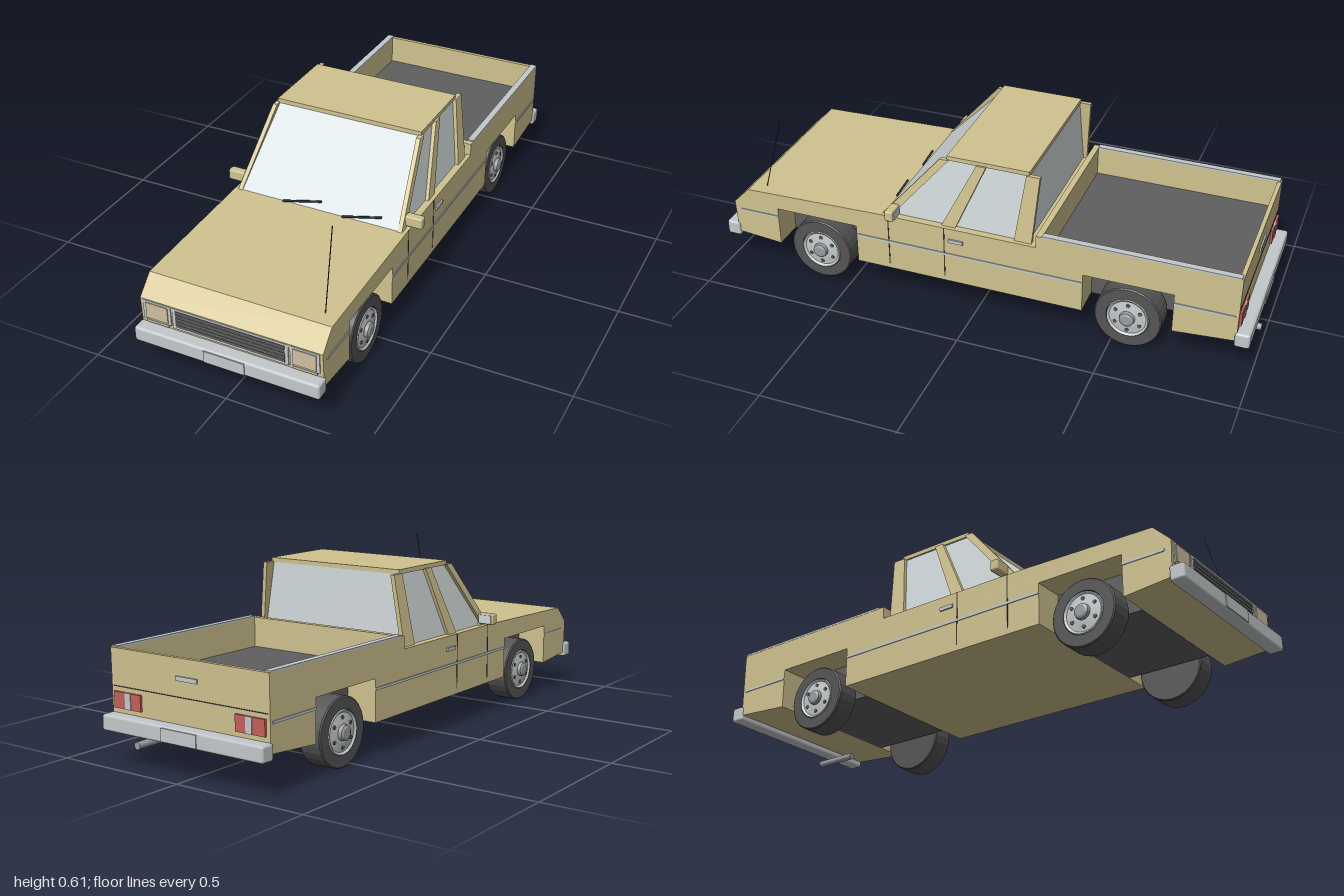
import * as THREE from 'three';
import { RoundedBoxGeometry } from 'three/addons/geometries/RoundedBoxGeometry.js';

const mat = (name, color) => Object.assign(new THREE.MeshStandardMaterial({ color }), { name });

export function createModel() {
  const truck = new THREE.Group();
  truck.name = 'pickupTruck';
  const paint = mat('tanPaint', 0xd0c28f), glass = mat('paleGlass', 0xd0d8da);
  const chrome = mat('brightMetal', 0xc3c9cb), dark = mat('darkGrey', 0x605f60);
  const rubber = mat('tyreRubber', 0x555555), black = mat('blackTrim', 0x35373a);
  const lamp = mat('lampLens', 0xd0bfa0), red = mat('redLens', 0xc4605a);
  const steel = mat('greySteel', 0x9c9ca2);

  const add = (name, geo, material, parent = truck) => {
    const m = new THREE.Mesh(geo, material);
    m.name = name;
    parent.add(m);
    return m;
  };
  // Box given by its limits on each axis
  const box = (name, material, [x0, x1], [y0, y1], [z0, z1]) => {
    const g = new THREE.BoxGeometry(x1 - x0, y1 - y0, z1 - z0);
    g.translate((x0 + x1) / 2, (y0 + y1) / 2, (z0 + z1) / 2);
    return add(name, g, material);
  };
  // Tapered block: lower and upper rectangles [x0, x1, z0, z1] at two heights
  const taper = (name, material, lo, y0, hi, y1) => {
    const g = new THREE.BoxGeometry(1, 1, 1), p = g.attributes.position;
    for (let i = 0; i < p.count; i++) {
      const r = p.getY(i) > 0 ? hi : lo;
      p.setXYZ(i, r[p.getX(i) > 0 ? 1 : 0], p.getY(i) > 0 ? y1 : y0, r[p.getZ(i) > 0 ? 3 : 2]);
    }
    g.computeVertexNormals();
    return add(name, g, material);
  };
  const flip = (s, a, b) => (s > 0 ? [a, b] : [-b, -a]);
  const rod = (name, material, a, b, r, sides = 6) => {
    const from = new THREE.Vector3(...a), to = new THREE.Vector3(...b);
    const m = add(name, new THREE.CylinderGeometry(r, r, from.distanceTo(to), sides), material);
    m.position.copy(from).add(to).multiplyScalar(0.5);
    m.quaternion.setFromUnitVectors(new THREE.Vector3(0, 1, 0), to.sub(from).normalize());
    return m;
  };
  const W = 0.333;
  const arches = [[0.455, 0.775], [-0.72, -0.4]];

  // Body: side profile (z, y) with wheel arches and open bed
  const profile = [
    [0.95, 0.135], [0.955, 0.265], [0.892, 0.328], [0.35, 0.342], [-0.228, 0.342], [-0.228, 0.388],
    [-0.25, 0.388], [-0.25, 0.276], [-0.928, 0.276], [-0.928, 0.388], [-0.943, 0.388], [-0.94, 0.138],
    [-0.72, 0.12], [-0.72, 0.27], [-0.4, 0.27], [-0.4, 0.12],
    [0.455, 0.12], [0.455, 0.27], [0.775, 0.27], [0.775, 0.12],
  ].map(([z, y]) => new THREE.Vector2(z, y));
  const body = new THREE.ExtrudeGeometry(new THREE.Shape(profile), { depth: 2 * W, bevelEnabled: false });
  body.translate(0, 0, -W).rotateY(-Math.PI / 2);
  add('body', body, paint);
  box('bedFloor', dark, [-0.312, 0.312], [0.274, 0.279], [-0.928, -0.25]);
  for (const [z0, z1] of arches) box('wheelWell', dark, [-0.22, 0.22], [0.119, 0.269], [z0, z1]);

  // Cab: glasshouse, roof and pillars
  taper('windows', glass, [-0.307, 0.307, -0.195, 0.352], 0.338, [-0.273, 0.273, -0.183, 0.112], 0.592);
  box('roof', paint, [-0.28, 0.28], [0.587, 0.603], [-0.186, 0.117]);
  const pillars = [
    ['frontPillar', 0.318, 0.354, 0.107, 0.14],
    ['middlePillar', 0.075, 0.128, -0.03, 0.005],
    ['rearPillar', -0.208, -0.144, -0.225, -0.176],
  ];

  for (const s of [1, -1]) {
    for (const [name, b0, b1, t0, t1] of pillars) {
      taper(name, paint, [...flip(s, 0.303, 0.319), b0, b1], 0.34, [...flip(s, 0.271, 0.287), t0, t1], 0.59);
    }

    // Bed sides with bright rail caps
    box('bedSide', paint, flip(s, 0.312, W), [0.27, 0.388], [-0.935, -0.24]);
    box('bedRail', chrome, flip(s, 0.31, W + 0.001), [0.386, 0.393], [-0.938, -0.25]);

    // Side trim, broken at the arches
    for (const z of [[0.775, 0.93], [-0.4, 0.455], [-0.93, -0.72]]) {
      box('sideStripe', chrome, flip(s, W - 0.002, W + 0.003), [0.23, 0.239], z);
    }
    for (const z of [0.327, 0.112]) {
      box('doorSeam', black, flip(s, W - 0.002, W + 0.001), [0.14, 0.342], [z - 0.002, z + 0.002]);
    }
    box('doorHandle', chrome, flip(s, W - 0.002, W + 0.006), [0.288, 0.301], [0.04, 0.095]);

    // Door mirrors
    const mirror = add('mirror', new RoundedBoxGeometry(0.064, 0.04, 0.032, 1, 0.006), paint);
    mirror.position.set(s * 0.345, 0.37, 0.303);
    box('mirrorGlass', glass, flip(s, 0.32, 0.37), [0.355, 0.385], [0.284, 0.288]);
    rod('mirrorArm', paint, [s * 0.31, 0.342, 0.3], [s * 0.322, 0.368, 0.303], 0.007);

    // Headlights and indicators
    box('headlightFrame', chrome, flip(s, 0.218, 0.322), [0.188, 0.262], [0.945, 0.957]);
    box('headlight', lamp, flip(s, 0.229, 0.311), [0.195, 0.255], [0.95, 0.96]);
    box('indicator', lamp, flip(s, 0.228, 0.312), [0.178, 0.187], [0.948, 0.958]);

    // Tail lights: red with a pale centre
    box('tailLight', red, flip(s, 0.2, 0.318), [0.19, 0.245], [-0.949, -0.94]);
    box('reverseLight', chrome, flip(s, 0.243, 0.268), [0.19, 0.245], [-0.951, -0.942]);
  }

  // Grille
  box('grilleFrame', chrome, [-0.212, 0.212], [0.182, 0.262], [0.945, 0.957]);
  for (let i = 0; i < 5; i++) {
    const y = 0.191 + i * 0.0132;
    box('grilleSlot', dark, [-0.2, 0.2], [y, y + 0.0105], [0.95, 0.959]);
  }

  // Bumpers, plates and tailgate handle
  for (const [name, z, s] of [['frontBumper', 0.97, 1], ['rearBumper', -0.96, -1]]) {
    const b = add(name, new RoundedBoxGeometry(0.68, 0.056, 0.054, 1, 0.009), chrome);
    b.position.set(0, 0.145, z);
    const face = z + s * 0.027;
    box('numberPlate', chrome, [-0.075, 0.075], [0.123, 0.167], [face - 0.003, face + 0.003]);
  }
  box('tailgateHandle', chrome, [-0.045, 0.045], [0.315, 0.33], [-0.948, -0.938]);
  box('tailgateTrim', black, [-0.325, 0.325], [0.26, 0.263], [-0.9435, -0.938]);

  // Exhaust, aerial and wipers
  rod('exhaustPipe', steel, [0.17, 0.095, -0.83], [0.17, 0.095, -0.998], 0.0125, 16);
  rod('aerial', black, [0.283, 0.328, 0.84], [0.272, 0.605, 0.765], 0.0017);
  for (const x of [-0.135, 0.095]) {
    rod('wiper', black, [x, 0.347, 0.357], [x + 0.14, 0.369, 0.334], 0.004);
  }

  // Wheels: faceted lathes turned to face sideways
  const turned = (pts) => {
    const g = new THREE.LatheGeometry(pts.map(([r, y]) => new THREE.Vector2(r, y)), 28).toNonIndexed();
    g.computeVertexNormals();
    return g.rotateZ(-Math.PI / 2);
  };
  const tyre = turned([[0, -0.043], [0.116, -0.043], [0.12, -0.039], [0.12, 0.039], [0.116, 0.043], [0.077, 0.043], [0.075, 0.03], [0, 0.03]]);
  const rim = turned([[0.077, 0.03], [0.074, 0.046], [0.066, 0.04], [0.034, 0.045], [0, 0.045]]);
  const cap = turned([[0.028, 0.044], [0.026, 0.057], [0.018, 0.061], [0, 0.061]]);
  const hole = new THREE.CylinderGeometry(0.007, 0.007, 0.006, 10).rotateZ(-Math.PI / 2);
  for (const z of [0.615, -0.56]) {
    for (const s of [1, -1]) {
      const wheel = new THREE.Group();
      wheel.name = 'wheel';
      add('tyre', tyre, rubber, wheel);
      add('rim', rim, chrome, wheel);
      add('hubCap', cap, steel, wheel);
      for (let i = 0; i < 6; i++) {
        const a = (i * Math.PI) / 3 + Math.PI / 6;
        add('rimHole', hole, dark, wheel).position.set(0.042, 0.05 * Math.sin(a), 0.05 * Math.cos(a));
      }
      wheel.position.set(s * 0.274, 0.12, z);
      if (s < 0) wheel.rotation.y = Math.PI;
      truck.add(wheel);
    }
  }
  return truck;
}
